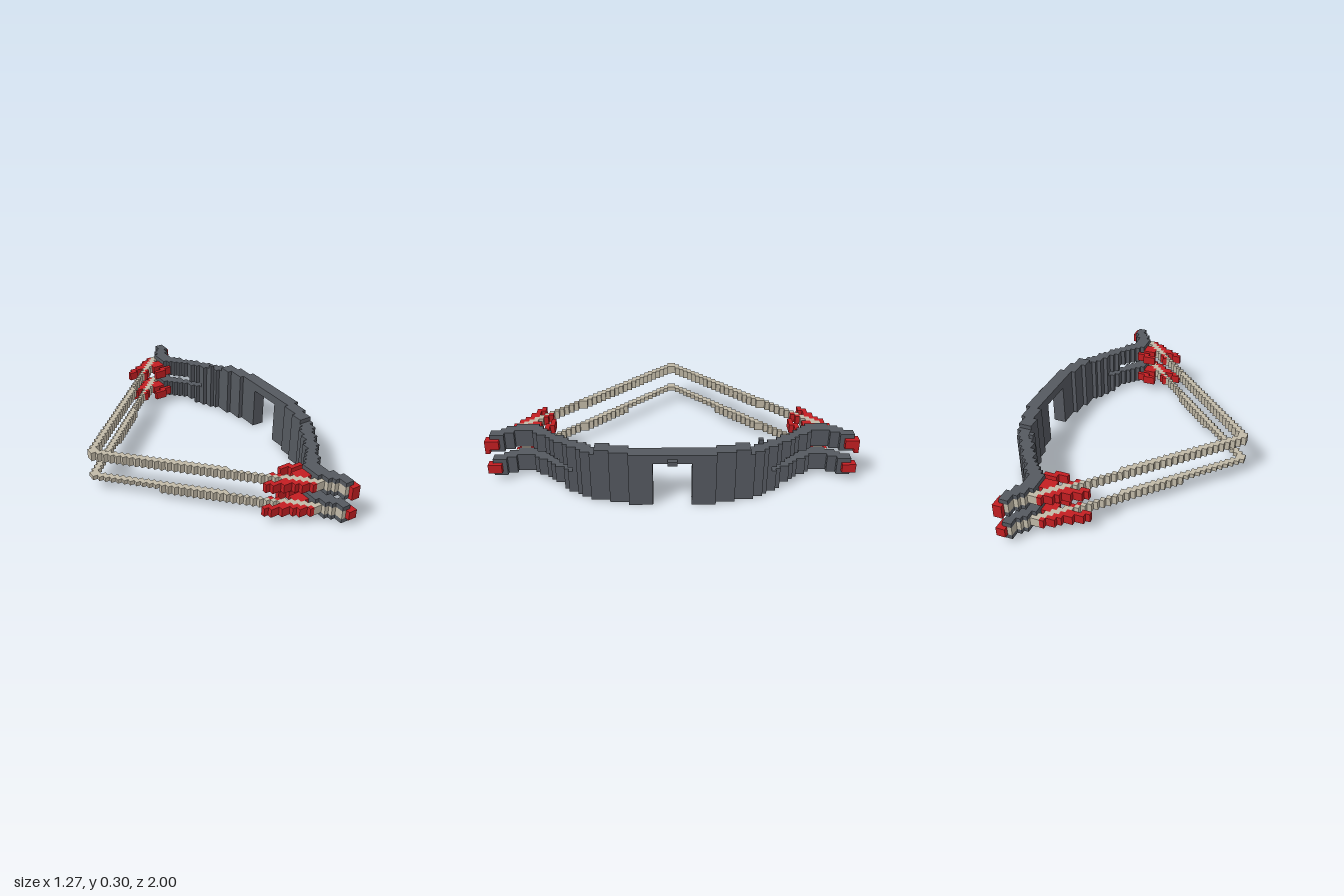
import * as THREE from 'three';
import { mergeGeometries } from 'three/addons/utils/BufferGeometryUtils.js';

const V = 0.025; // block size

// Block run given in block units; z counts outward from the middle of the bow
function block(x0, x1, y0, y1, z0, z1) {
  const g = new THREE.BoxGeometry((x1 - x0) * V, (y1 - y0) * V, (z1 - z0) * V);
  return g.translate(((x0 + x1) / 2 - 25.5) * V, ((y0 + y1) / 2) * V, ((z0 + z1) / 2) * V);
}

// Inner and outer edge of the curved bow for each row away from the middle
const INNER = [47, 47, 47, 47, 47, 47, 47, 47, 47, 46, 46, 46, 46, 45, 45, 45, 45, 44, 43, 43,
  42, 42, 41, 40, 40, 39, 38, 37, 36, 35, 35, 35, 35, 35, 36, 36, 37, 38, 38];
const OUTER = [50, 50, 50, 50, 50, 50, 50, 50, 50, 49, 49, 49, 49, 48, 48, 48, 48, 47, 47, 46,
  45, 45, 44, 43, 43, 42, 41, 40, 40, 39, 38, 38, 38, 38, 39, 39, 40, 40, 40];

// Height bands of the bow at a row: grip bridge, solid riser, then twin limbs
function bands(r) {
  if (r < 4) return [[10, 12]];
  if (r < 16) return [[0, 12]];
  if (r < 21) return [[0, 11]];
  if (r < 23) return [[0, 5], [6, 11]];
  if (r < 24) return [[1, 5], [6, 11]];
  return [[1, 5], [7, 11]];
}

// Red tufts near the string ends: row, first and last block
const TUFTS = [
  [29, 25, 27], [30, 26, 30], [31, 28, 31], [32, 30, 32], [33, 31, 33], [34, 33, 34],
  [26, 31, 34], [27, 33, 36], [27, 28, 29], [28, 29, 30],
  [29, 32, 35], [30, 32, 35], [31, 33, 35],
];

export function createModel() {
  const root = new THREE.Group();
  root.name = 'bow';
  const mat = (name, color) => {
    const m = new THREE.MeshStandardMaterial({ color });
    m.name = name;
    return m;
  };
  const dark = mat('darkGrey', 0x555960);
  const red = mat('red', 0xc41e22);
  const beige = mat('beige', 0xc2baa8);

  const limb = [], wrap = [], string = [], tuft = [], tip = [];

  // Riser and limbs
  for (let r = 0; r < 39; r++) {
    const a = INNER[r], b = OUTER[r];
    if (r < 34) {
      for (const [y0, y1] of bands(r)) limb.push(block(a, b, y0, y1, r, r + 1));
      continue;
    }
    // Limb ends hold the string in a groove on the inner face
    for (const y of [1, 7]) {
      limb.push(block(a, b, y, y + 1, r, r + 1), block(a, b, y + 3, y + 4, r, r + 1));
      limb.push(block(a + 1, b, y + 1, y + 3, r, r + 1));
      wrap.push(block(a, a + 1, y + 1, y + 3, r, r + 1));
    }
  }

  // Two strings running diagonally to the drawn point
  for (let r = 0; r < 35; r++) {
    const width = r > 20 && r < 29 ? 1 : 2;
    const end = Math.min(r + width, INNER[r]);
    string.push(block(r, end, 8, 10, r, r + 1));
    string.push(block(r, end, r < 11 ? 3 : 2, 4, r, r + 1));
  }

  // Tufts and limb tips on both levels
  for (const y of [2, 8]) {
    for (const [r, x0, x1] of TUFTS) {
      if (r === 27 && x0 === 33) tuft.push(block(x0, 36, y, y + 2, r, r + 1));
      else tuft.push(block(x0, x1, y, y + 2, r, r + 1));
    }
    tip.push(block(40, 41, y, y + 2, 37, 39), block(39, 41, y, y + 2, 39, 40));
  }
  tip.push(block(39, 41, 7, 8, 39, 40));

  // Each half is the same bow turned about the middle
  const parts = [['limb', limb, dark], ['stringWrap', wrap, beige], ['string', string, beige],
    ['tuft', tuft, red], ['limbTip', tip, red]];
  for (const [name, list, material] of parts) {
    const half = mergeGeometries(list);
    const other = mergeGeometries(list.map((g) => {
      g.computeBoundingBox();
      const c = g.boundingBox.getCenter(new THREE.Vector3());
      return g.clone().translate(0, 0, -2 * c.z);
    }));
    for (const [side, g] of [['Front', half], ['Back', other]]) {
      const mesh = new THREE.Mesh(g, material);
      mesh.name = name + side;
      root.add(mesh);
    }
  }

  // Small sights: a bead at the middle and a peg on the back limb
  const sight = new THREE.Mesh(mergeGeometries([
    block(50, 51, 10, 11, -1, 1), block(43, 44, 11, 12, -19, -18),
  ]), dark);
  sight.name = 'sight';
  root.add(sight);
  return root;
}
